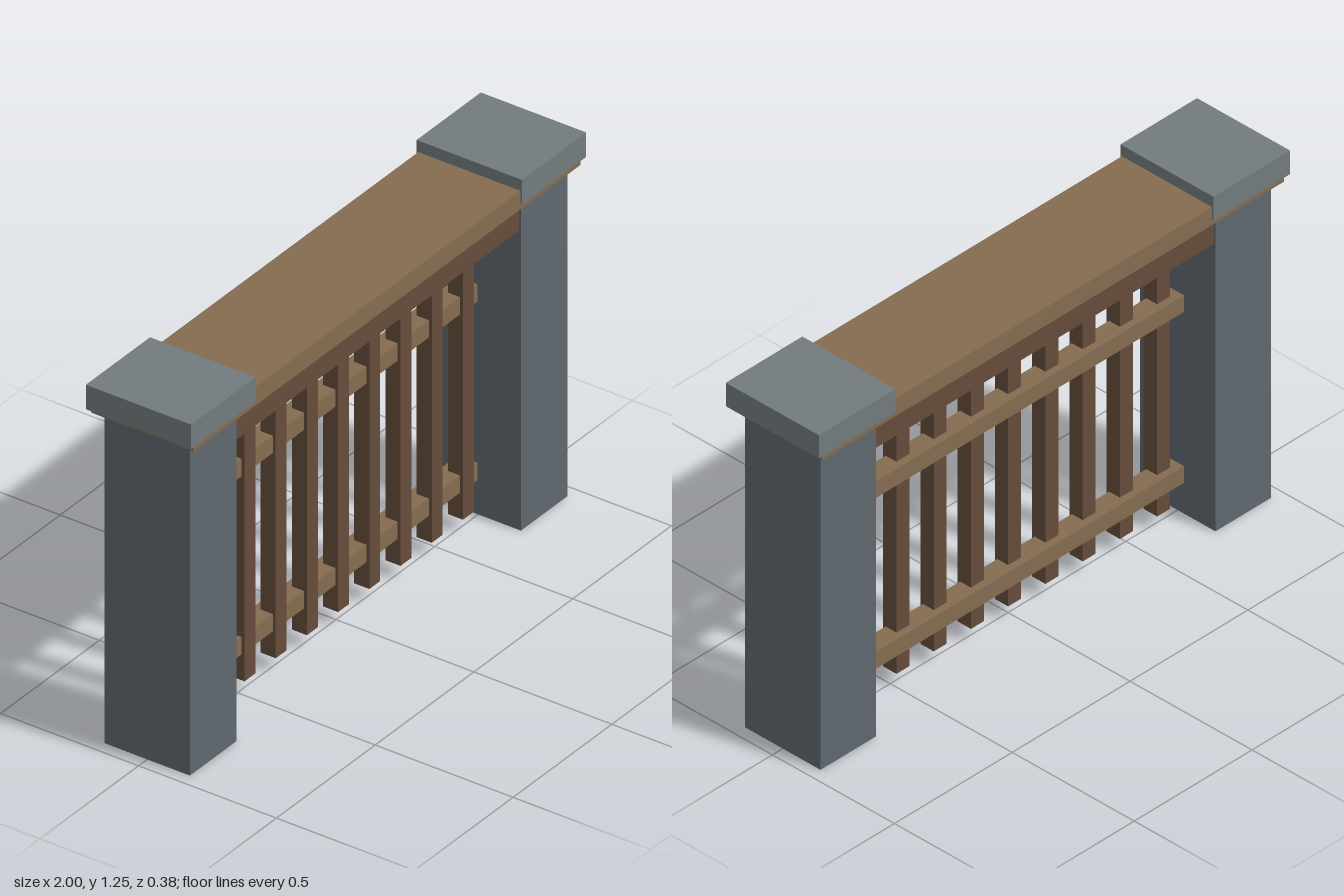
import * as THREE from 'three';

export function createModel() {
  const model = new THREE.Group();
  model.name = 'gateFence';

  const paint = (color) => new THREE.MeshStandardMaterial({ color, flatShading: true });
  const stone = paint(0x5f686f);
  const capStone = paint(0x737b7e);
  const darkWood = paint(0x664c3b);
  const lightWood = paint(0x856c50);

  // Box given by its size, centre x, bottom y and centre z
  function box(name, material, [w, h, d], x, bottom, z = 0) {
    const mesh = new THREE.Mesh(new THREE.BoxGeometry(w, h, d), material);
    mesh.name = name;
    mesh.position.set(x, bottom + h / 2, z);
    model.add(mesh);
  }

  // Stone posts with overhanging caps
  for (const [side, s] of [['left', 1], ['right', -1]]) {
    box(`${side}Post`, stone, [0.236, 1.16, 0.31], s * 0.838, 0);
    box(`${side}Cap`, capStone, [0.325, 0.085, 0.382], s * 0.8375, 1.17);
  }

  // Beam between the posts and the wide board on top of it
  box('topBeam', darkWood, [1.5, 0.115, 0.296], 0, 1.04);
  box('topBoard', lightWood, [1.96, 0.065, 0.37], 0, 1.15);

  // Horizontal rails, set slightly behind the pickets
  box('lowerRail', lightWood, [1.384, 0.06, 0.07], 0, 0.14, -0.018);
  box('upperRail', lightWood, [1.384, 0.06, 0.07], 0, 0.76, -0.018);

  // Row of nine pickets
  for (let i = 0; i < 9; i++) {
    box(`picket${i + 1}`, darkWood, [0.055, 0.91, 0.055], (i - 4) * 0.158, 0.05);
  }

  return model;
}
